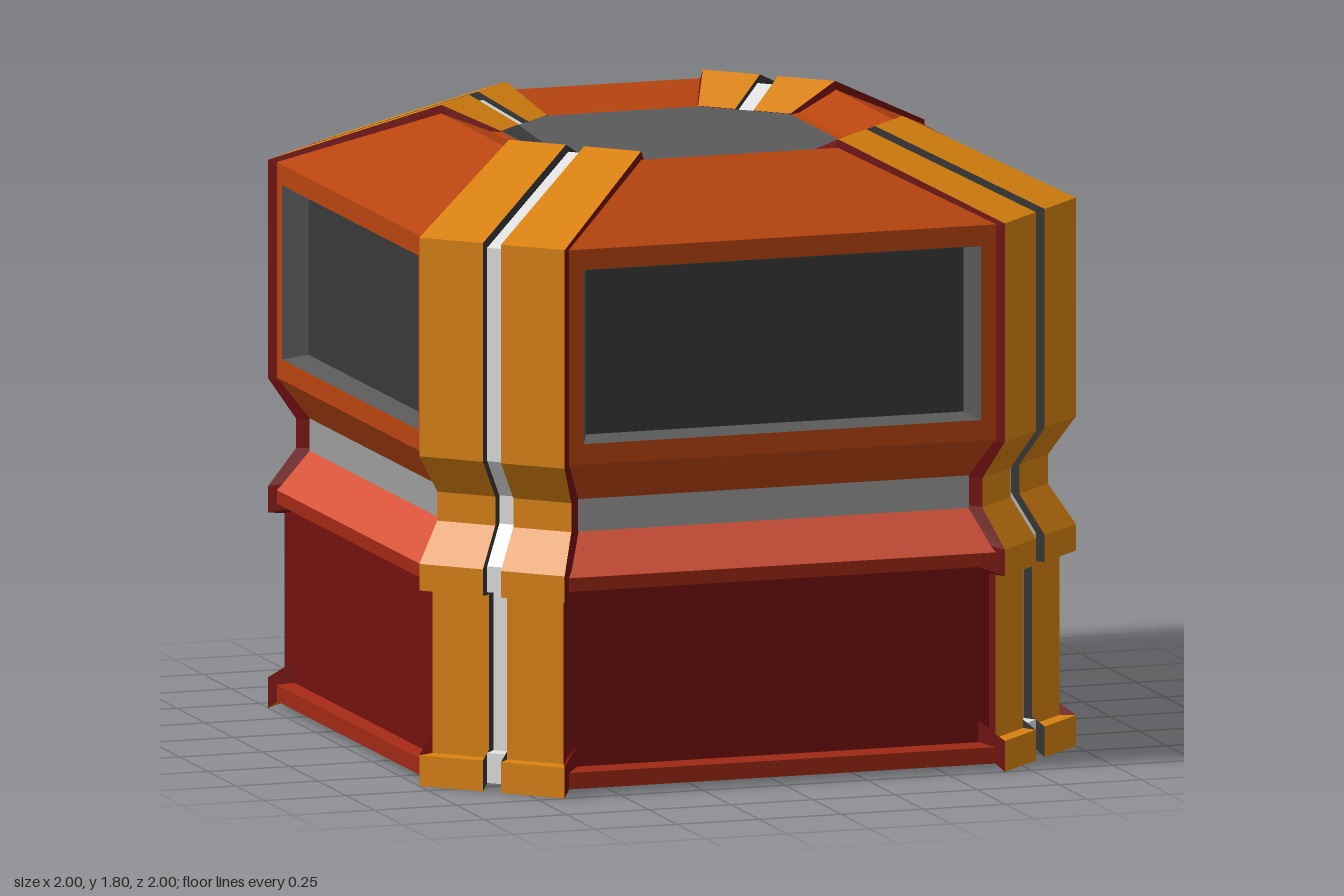
import * as THREE from 'three';

const mat = (name, color) => {
  const m = new THREE.MeshStandardMaterial({ color, side: THREE.DoubleSide });
  m.name = name;
  return m;
};

// Flat-shaded strip of quads between two matching lines of [x, y, z] points
function strip(a, b, flip = false) {
  const out = [];
  for (let i = 0; i < a.length - 1; i++) {
    const q = [a[i], a[i + 1], b[i + 1], b[i]];
    if (flip) q.reverse();
    for (const k of [0, 1, 2, 0, 2, 3]) out.push(...q[k]);
  }
  const g = new THREE.BufferGeometry();
  g.setAttribute('position', new THREE.Float32BufferAttribute(out, 3));
  g.computeVertexNormals();
  return g;
}

function add(group, name, geometry, material) {
  const mesh = new THREE.Mesh(geometry, material);
  mesh.name = name;
  group.add(mesh);
  return mesh;
}

// Horizontal polygon from [x, z] points
function plate(points, y, up) {
  const shape = new THREE.Shape(points.map(([x, z]) => new THREE.Vector2(x, up ? -z : z)));
  return new THREE.ShapeGeometry(shape).rotateX(up ? -Math.PI / 2 : Math.PI / 2).translate(0, y, 0);
}

const octagon = (d, w) => [[w, d], [d, w], [d, -w], [w, -d], [-w, -d], [-d, -w], [-d, w], [-w, d]];

export function createModel() {
  const model = new THREE.Group();
  const amber = mat('amber', 0xd9820f);
  const orange = mat('burnt orange', 0xb8440f);
  const panelRed = mat('dark red', 0x74100f);
  const lipRed = mat('lip red', 0xa02814);
  const coral = mat('coral', 0xd9553b);
  const bandGrey = mat('band grey', 0x9c9c9c);
  const charcoal = mat('charcoal', 0x383838);
  const midGrey = mat('mid grey', 0x5a5a5a);
  const light = mat('light grey', 0xe2e2e2);

  // Wall sections: name, material, then [distance, height, half width] points
  const sections = [
    ['baseBevel', orange, [[0.91, 0.02, 0.62], [0.98, 0.022, 0.67]]],
    ['baseLip', lipRed, [[0.98, 0.022, 0.67], [0.98, 0.07, 0.67], [0.94, 0.08, 0.655]]],
    ['lowerPanel', panelRed, [[0.94, 0.08, 0.655], [0.94, 0.6, 0.655]]],
    ['ledgeLip', lipRed, [[0.94, 0.6, 0.655], [0.98, 0.6, 0.67], [0.98, 0.64, 0.67]]],
    ['ledgeSlope', coral, [[0.98, 0.64, 0.67], [0.9, 0.76, 0.625]]],
    ['waistBand', bandGrey, [[0.9, 0.76, 0.625], [0.9, 0.855, 0.625]]],
    ['shoulder', orange, [[0.9, 0.855, 0.625], [0.98, 0.97, 0.67]]],
    ['roofSlope', orange, [[0.98, 1.6, 0.67], [0.6, 1.78, 0.3]]],
    ['roofRim', orange, [[0.6, 1.78, 0.3], [0.47, 1.73, 0.25], [0.44, 1.728, 0.23]]],
  ];
  const rect = (x, y0, y1, z) => [[-x, y0, z], [x, y0, z], [x, y1, z], [-x, y1, z], [-x, y0, z]];

  for (let i = 0; i < 4; i++) {
    const wall = new THREE.Group();
    wall.name = 'wall' + (i + 1);
    wall.rotation.y = i * Math.PI / 2;
    model.add(wall);
    for (const [name, material, pts] of sections) {
      const side = (s) => pts.map(([d, y, w]) => [s * w, y, d]);
      add(wall, name, strip(side(1), side(-1)), material);
    }

    // Window frame with a recessed pane
    const frame = new THREE.Shape();
    frame.moveTo(-0.67, 0.97).lineTo(0.67, 0.97).lineTo(0.67, 1.6).lineTo(-0.67, 1.6);
    const hole = new THREE.Path();
    hole.moveTo(-0.605, 1.03).lineTo(-0.605, 1.54).lineTo(0.605, 1.54).lineTo(0.605, 1.03);
    frame.holes.push(hole);
    add(wall, 'windowFrame', new THREE.ShapeGeometry(frame).translate(0, 0, 0.98), orange);
    add(wall, 'windowReveal',
      strip(rect(0.605, 1.03, 1.54, 0.98), rect(0.575, 1.045, 1.525, 0.91)), midGrey);
    add(wall, 'windowPane',
      new THREE.PlaneGeometry(1.15, 0.48).translate(0, 1.285, 0.91), charcoal);
  }

  // Corner pillar outline: [radius, height, half width]
  const outline = [
    [1.181, 0, 0.233], [1.181, 0.09, 0.233], [1.14, 0.092, 0.21], [1.14, 0.57, 0.21],
    [1.181, 0.572, 0.233], [1.181, 0.65, 0.233], [1.1, 0.765, 0.215], [1.1, 0.85, 0.215],
    [1.181, 0.965, 0.233], [1.181, 1.605, 0.233], [0.636, 1.805, 0.212], [0.474, 1.73, 0.148],
  ];
  const slot = 0.029;
  // Line along the outline at depth k (0 = surface), at a signed share of its width
  const line = (k, s, full) => outline.map(([r, y, w]) =>
    [s * (full ? w : slot), y + (0.85 - y) * k, r * (1 - k)]);

  for (let i = 0; i < 4; i++) {
    const pillar = new THREE.Group();
    pillar.name = 'cornerPillar' + (i + 1);
    pillar.rotation.y = Math.PI / 4 + i * Math.PI / 2;
    model.add(pillar);
    for (const s of [1, -1]) {
      const flip = s < 0;
      const edge = line(0, s, true), edgeIn = line(0.08, s, true);
      const lip = line(0, s, false), lipIn = line(0.08, s, false);
      add(pillar, 'pillarFace', strip(edge, lip, flip), amber);
      add(pillar, 'pillarSide', strip(edgeIn, edge, flip), panelRed);
      add(pillar, 'slotWall', strip(lip, lipIn, flip), charcoal);
      add(pillar, 'pillarFoot', strip([edgeIn[0], edge[0]], [lipIn[0], lip[0]], flip), amber);
    }
    add(pillar, 'lightStrip', strip(line(0.024, 1, false), line(0.024, -1, false)), light);
  }

  // Roof deck, its dark edge sliver and the underside
  add(model, 'roofDeck', plate(octagon(0.45, 0.235), 1.727, true), midGrey);
  add(model, 'deckSliver',
    plate([[-0.44, -0.24], [-0.36, -0.33], [-0.41, 0.24], [-0.44, 0.23]], 1.731, true), charcoal);
  add(model, 'underside', plate(octagon(0.915, 0.62), 0.021, false), charcoal);
  return model;
}
